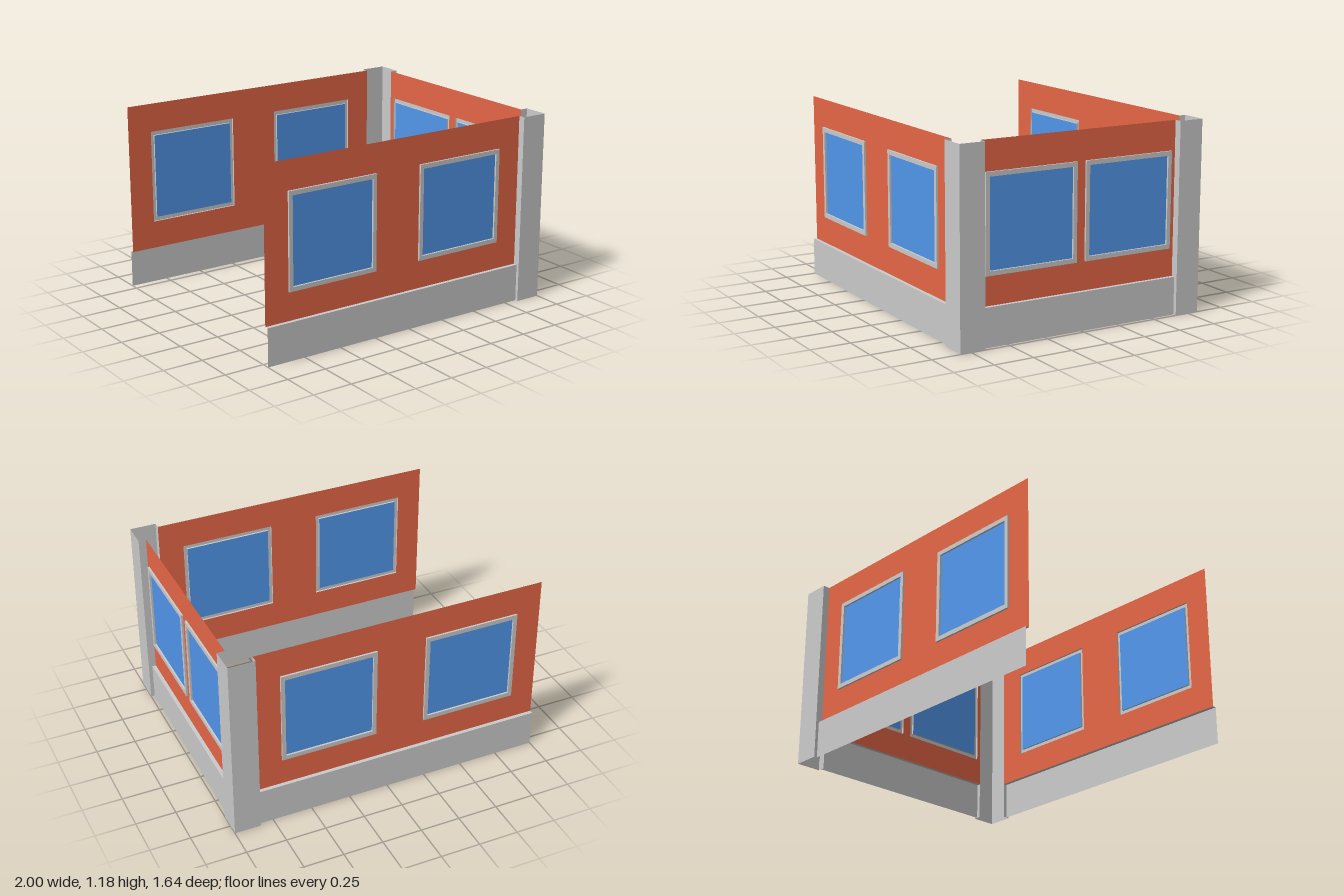
import * as THREE from 'three';

const H = 1.18;        // wall height
const BASE = 0.235;    // plinth height
const STEP = 0.024;    // plinth projection
const RIM = 0.012;     // window frame projection
const WIN = { w: 0.602, h: 0.59, y: 0.705, gw: 0.552, gh: 0.535 };

const material = (color) => new THREE.MeshStandardMaterial({ color, side: THREE.DoubleSide, flatShading: true });
const grey = material(0xcccccc);
const red = material(0xe76747);
const blue = material(0x5297ec);

// Folded sheet: a path of [x, y, z] points swept along a vector
function foldedSheet(path, sweep) {
  const pts = path.map((p) => new THREE.Vector3(...p));
  const v = new THREE.Vector3(...sweep);
  const tris = [];
  for (let i = 0; i < pts.length - 1; i++) {
    const a = pts[i], b = pts[i + 1];
    const c = b.clone().add(v), d = a.clone().add(v);
    tris.push(a, b, c, a, c, d);
  }
  const g = new THREE.BufferGeometry().setFromPoints(tris);
  g.computeVertexNormals();
  return g;
}

function add(parent, name, geometry, mat) {
  const mesh = new THREE.Mesh(geometry, mat);
  mesh.name = name;
  parent.add(mesh);
  return mesh;
}

// Closed rectangle outline around a centre
function rect(cx, cy, w, h) {
  return [[-1, -1], [1, -1], [1, 1], [-1, 1], [-1, -1]].map(([sx, sy]) => [cx + sx * w / 2, cy + sy * h / 2, 0]);
}
const to2D = (pts) => pts.map(([x, y]) => new THREE.Vector2(x, y));

// Raised hollow frame with a glass pane at the back
function makeWindow(cx) {
  const group = new THREE.Group();
  group.name = 'window';
  const outer = rect(0, 0, WIN.w, WIN.h);
  const inner = rect(0, 0, WIN.gw, WIN.gh);
  const face = new THREE.Shape(to2D(outer));
  face.holes.push(new THREE.Path(to2D(inner)));
  add(group, 'frameFace', new THREE.ShapeGeometry(face), grey).position.z = RIM;
  add(group, 'frameOuterEdge', foldedSheet(outer, [0, 0, RIM]), grey);
  add(group, 'frameInnerEdge', foldedSheet(inner, [0, 0, RIM]), grey);
  add(group, 'glass', new THREE.PlaneGeometry(WIN.gw, WIN.gh), blue);
  group.position.set(cx, WIN.y, 0);
  return group;
}

// Wall facing +z: panel with openings, stepped plinth and windows
function makeWall(name, x0, x1, centres) {
  const wall = new THREE.Group();
  wall.name = name;
  const panel = new THREE.Shape(to2D(rect((x0 + x1) / 2, (BASE + H) / 2, x1 - x0, H - BASE)));
  for (const cx of centres) {
    panel.holes.push(new THREE.Path(to2D(rect(cx, WIN.y, WIN.w, WIN.h))));
    wall.add(makeWindow(cx));
  }
  add(wall, 'panel', new THREE.ShapeGeometry(panel), red);
  add(wall, 'plinth', foldedSheet([[x0, 0, STEP], [x0, BASE, STEP], [x0, BASE, 0]], [x1 - x0, 0, 0]), grey);
  return wall;
}

export function createModel() {
  const model = new THREE.Group();
  model.name = 'cornerWalls';

  // Long front and back walls
  const front = makeWall('frontWall', -1, 0.835, [-0.542, 0.375]);
  front.position.z = 0.776;
  const back = makeWall('backWall', -0.835, 1, [0.542, -0.375]);
  back.rotation.y = Math.PI;
  back.position.z = -0.776;

  // Short side wall
  const side = makeWall('sideWall', -0.66, 0.66, [-0.333, 0.329]);
  side.rotation.y = Math.PI / 2;
  side.position.x = 0.952;
  model.add(front, back, side);

  // Open corner columns with short returns to the walls
  for (const s of [1, -1]) {
    const plan = [[0.952, 0.66], [1, 0.66], [1, 0.82], [0.835, 0.82], [0.835, 0.776]];
    add(model, s > 0 ? 'frontColumn' : 'backColumn',
      foldedSheet(plan.map(([x, z]) => [x, 0, s * z]), [0, H, 0]), grey);
  }
  return model;
}
